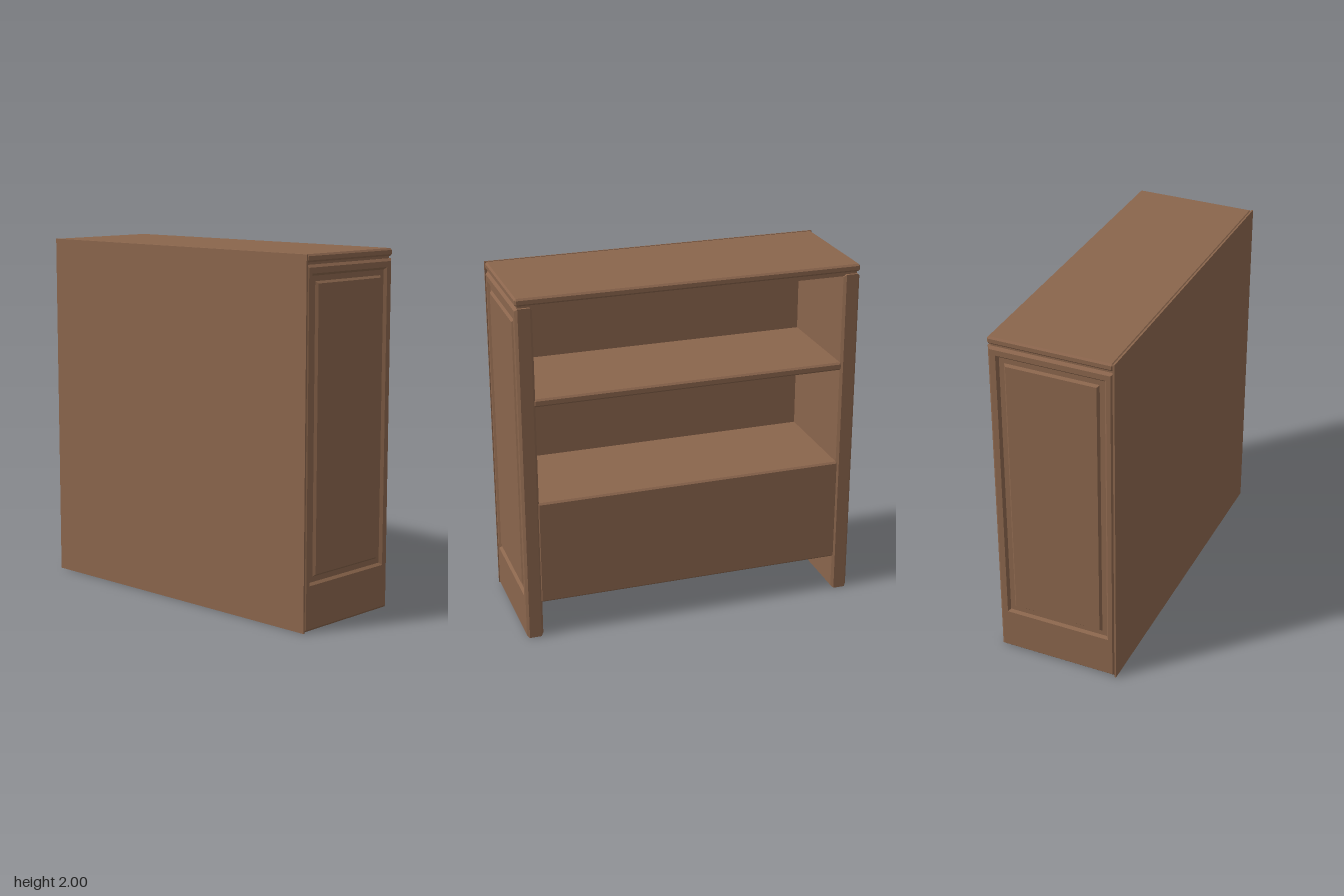
import * as THREE from 'three';
import { ConvexGeometry } from 'three/addons/geometries/ConvexGeometry.js';

// Box with chamfered edges, given by its min and max corners
function chamferBox(x0, x1, y0, y1, z0, z1, b) {
  const w = (x1 - x0) / 2, h = (y1 - y0) / 2, d = (z1 - z0) / 2;
  const points = [];
  for (const i of [-1, 1]) for (const j of [-1, 1]) for (const k of [-1, 1]) {
    points.push(new THREE.Vector3(i * w, j * (h - b), k * (d - b)));
    points.push(new THREE.Vector3(i * (w - b), j * h, k * (d - b)));
    points.push(new THREE.Vector3(i * (w - b), j * (h - b), k * d));
  }
  return new ConvexGeometry(points).translate((x0 + x1) / 2, (y0 + y1) / 2, (z0 + z1) / 2);
}

function plainBox(x0, x1, y0, y1, z0, z1) {
  return new THREE.BoxGeometry(x1 - x0, y1 - y0, z1 - z0)
    .translate((x0 + x1) / 2, (y0 + y1) / 2, (z0 + z1) / 2);
}

// Skin over nested rectangles [x, z0, z1, y0, y1], capped at both ends; side is +1 or -1
function rectangleLoft(rings, side) {
  const loops = rings.map(([x, z0, z1, y0, y1]) =>
    [[z0, y0], [z0, y1], [z1, y1], [z1, y0]].map(([z, y]) => [x * side, y, z]));
  const pos = [];
  const quad = (a, b, c, d) => {
    const tris = side > 0 ? [a, b, c, a, c, d] : [a, c, b, a, d, c];
    tris.forEach((p) => pos.push(...p));
  };
  for (let r = 0; r < loops.length - 1; r++) {
    const p = loops[r], q = loops[r + 1];
    for (let i = 0; i < 4; i++) {
      const j = (i + 1) % 4;
      quad(p[i], p[j], q[j], q[i]);
    }
  }
  const first = loops[0], last = loops[loops.length - 1];
  quad(first[3], first[2], first[1], first[0]);
  quad(last[0], last[1], last[2], last[3]);
  const geo = new THREE.BufferGeometry();
  geo.setAttribute('position', new THREE.Float32BufferAttribute(pos, 3));
  geo.computeVertexNormals();
  return geo;
}

export function createModel() {
  const group = new THREE.Group();
  const wood = new THREE.MeshStandardMaterial({ color: 0x8a654c });
  wood.name = 'brown wood';
  const add = (name, geo) => {
    const mesh = new THREE.Mesh(geo, wood);
    mesh.name = name;
    group.add(mesh);
  };

  // Closed face: thin sheet with a thicker board behind it
  add('frontSheet', plainBox(-0.977, 0.977, 0, 2, 0.345, 0.355));
  add('frontBoard', plainBox(-0.89, 0.89, 0, 1.945, 0.285, 0.345));

  // Top slab over an inset neck
  add('topSlab', chamferBox(-0.975, 0.975, 1.958, 2, -0.355, 0.347, 0.01));
  add('topNeck', plainBox(-0.96, 0.96, 1.935, 1.96, -0.34, 0.345));

  // Side walls: chamfered board, sunken groove, raised middle field
  const rect = (x, z0, z1, y0, y1, i) => [x, z0 + i, z1 - i, y0 + i, y1 - i];
  const body = [-0.355, 0.346, 0, 1.945];
  const outer = [-0.308, 0.308, 0.25, 1.9];
  const inner = [-0.267, 0.267, 0.292, 1.858];
  const rings = [
    rect(0.88, ...body, 0.014),
    rect(0.894, ...body, 0),
    rect(0.961, ...body, 0),
    rect(0.975, ...body, 0.014),
    rect(0.975, ...outer, 0),
    rect(0.96, ...outer, 0.013),
    rect(0.96, ...inner, 0),
    rect(0.973, ...inner, 0.012),
  ];
  add('leftWall', rectangleLoft(rings, 1));
  add('rightWall', rectangleLoft(rings, -1));

  // Shelf and closed lower box, open towards the back
  add('upperShelf', chamferBox(-0.89, 0.89, 1.385, 1.43, -0.35, 0.3, 0.01));
  add('lowerBox', chamferBox(-0.89, 0.89, 0.21, 0.82, -0.35, 0.3, 0.01));

  return group;
}
